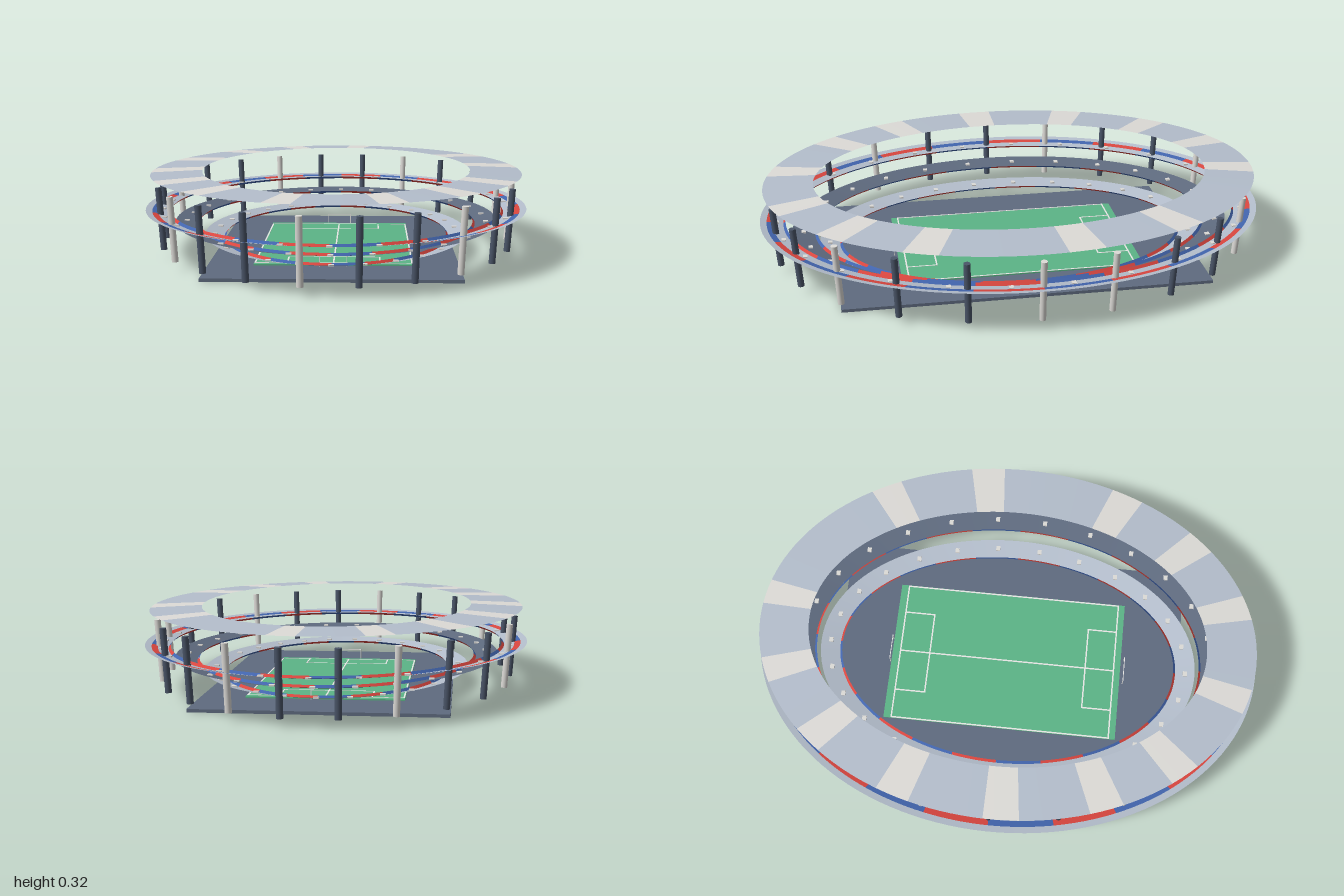
import * as THREE from 'three';
import { mergeGeometries } from 'three/addons/utils/BufferGeometryUtils.js';

const TAU = Math.PI * 2;
const deg = Math.PI / 180;

function mat(name, color, side = THREE.FrontSide) {
  const m = new THREE.MeshStandardMaterial({ color, side });
  m.name = name;
  return m;
}

// Strip between two ellipses, each given as [radiusX, radiusZ, y]
function strip(a, b, t0 = 0, t1 = TAU) {
  const n = Math.max(2, Math.ceil((t1 - t0) / TAU * 128));
  const pos = [], idx = [];
  for (let i = 0; i <= n; i++) {
    const t = t0 + (t1 - t0) * i / n, c = Math.cos(t), s = Math.sin(t);
    for (const [rx, rz, y] of [a, b]) pos.push(rx * c, y, rz * s);
    if (i < n) {
      const k = i * 2;
      idx.push(k, k + 2, k + 1, k + 1, k + 2, k + 3);
    }
  }
  const g = new THREE.BufferGeometry();
  g.setAttribute('position', new THREE.Float32BufferAttribute(pos, 3));
  g.setIndex(idx);
  g.computeVertexNormals();
  return g;
}

// Ellipse part of the way from a to b
const mix = (a, b, f) => a.map((v, j) => v + (b[j] - v) * f);

export function createModel() {
  const model = new THREE.Group();
  model.name = 'stadium';

  const concrete = mat('concrete', 0xb4becc, THREE.DoubleSide);
  const pale = mat('pale panel', 0xdddbd7, THREE.DoubleSide);
  const slate = mat('slate', 0x5f6b7f, THREE.DoubleSide);
  const steel = mat('dark steel', 0x4a5568);
  const grass = mat('grass', 0x5cb487);
  const white = mat('line white', 0xf0f0ee);
  const red = mat('red', 0xd9463f, THREE.DoubleSide);
  const blue = mat('blue', 0x4265ae, THREE.DoubleSide);

  const add = (name, geo, material, parent = model) => {
    const m = new THREE.Mesh(geo, material);
    m.name = name;
    parent.add(m);
    return m;
  };
  const box = (w, h, d, x, y, z) => new THREE.BoxGeometry(w, h, d).translate(x, y, z);

  // Ground slab and pitch
  add('groundSlab', box(0.93, 0.012, 1.42, 0, 0.006, 0), slate);
  add('pitch', box(0.59, 0.005, 0.95, 0, 0.0145, -0.005), grass);

  // Pitch markings
  const lines = [];
  const line = (x0, z0, x1, z1) => lines.push(box(
    Math.abs(x1 - x0) + 0.006, 0.001, Math.abs(z1 - z0) + 0.006,
    (x0 + x1) / 2, 0.0175, (z0 + z1) / 2));
  for (const x of [-0.291, 0, 0.291]) line(x, -0.448, x, 0.443);
  for (const s of [-1, 1]) {
    const end = s < 0 ? -0.448 : 0.443, front = s * 0.325;
    line(-0.291, end, 0.291, end);
    line(-0.172, front, 0.172, front);
    for (const x of [-0.172, 0.172]) line(x, end, x, front);
  }
  add('pitchLines', mergeGeometries(lines), white);

  // Goal frames
  for (const s of [-1, 1]) {
    const z = s * 0.483;
    add(s > 0 ? 'frontGoal' : 'backGoal', mergeGeometries([
      box(0.003, 0.043, 0.003, -0.05, 0.0335, z),
      box(0.003, 0.043, 0.003, 0.05, 0.0335, z),
      box(0.103, 0.003, 0.003, 0, 0.055, z),
    ]), white);
  }

  // Three sloping seating tiers: inner edge low, outer edge high
  const tiers = [
    { name: 'lowerTier', i: [0.45, 0.694, 0.056], o: [0.523, 0.772, 0.073], deck: concrete },
    { name: 'middleTier', i: [0.555, 0.79, 0.11], o: [0.64, 0.877, 0.127], deck: slate },
    { name: 'upperTier', i: [0.665, 0.91, 0.163], o: [0.755, 1.0, 0.18], deck: concrete, stripe: [0.45, 0.72] },
  ];
  for (const { name, i, o, deck, stripe } of tiers) {
    const tier = new THREE.Group();
    tier.name = name;
    model.add(tier);

    // Deck, leaving room for the coloured stripe where there is one
    const [s0, s1] = stripe ? stripe.map((f) => mix(i, o, f)) : [o, o];
    add('deck', strip(i, s0), deck, tier);
    if (stripe) add('outerDeck', strip(s1, o), deck, tier);

    // Leaning parapet and deck stripe in alternating team colours
    const parapet = [i[0] - 0.009, i[1] - 0.009, i[2] + 0.009];
    const parts = [[], []];
    const count = 24;
    for (let k = 0; k < count; k++) {
      const t0 = k / count * TAU, t1 = (k + 1) / count * TAU;
      parts[k % 2].push(strip(parapet, i, t0, t1));
      if (stripe) parts[k % 2].push(strip(s0, s1, t0, t1));
    }
    add('redBands', mergeGeometries(parts[0]), red, tier);
    add('blueBands', mergeGeometries(parts[1]), blue, tier);

    // Small flat seat blocks along the deck
    const seats = [];
    const [rx, rz, y] = mix(i, o, stripe ? 0.28 : 0.5);
    for (let k = 0; k < 26; k++) {
      const t = Math.PI / 2 + k / 26 * TAU;
      seats.push(box(0.02, 0.006, 0.017, rx * Math.cos(t), y + 0.002, rz * Math.sin(t)));
    }
    add('seats', mergeGeometries(seats), pale, tier);
  }

  // Outward-leaning pillars, every third one pale
  const up = new THREE.Vector3(0, 1, 0);
  for (let k = 0; k < 22; k++) {
    const t = k / 22 * TAU, c = Math.cos(t), s = Math.sin(t);
    const bottom = new THREE.Vector3(0.688 * c, 0.031, 0.937 * s);
    const top = new THREE.Vector3(0.706 * c, 0.273, 0.955 * s);
    const dir = top.clone().sub(bottom);
    const p = add('pillar', new THREE.CylinderGeometry(0.0125, 0.0125, dir.length(), 10),
      k % 3 === 0 ? pale : steel);
    p.position.copy(bottom).add(top).multiplyScalar(0.5);
    p.quaternion.setFromUnitVectors(up, dir.normalize());
  }

  // Thin roof ring with pale panels between concrete arcs
  const panels = [-158, -133, -109, -83, -35, -9, 26, 49, 73, 104, 132, 153, 177];
  const inner = [0.533, 0.785, 0.322], outer = [0.735, 0.98, 0.314];
  const half = 4;
  const paleArcs = [], plainArcs = [];
  panels.forEach((p, k) => {
    const next = k + 1 < panels.length ? panels[k + 1] : panels[0] + 360;
    paleArcs.push(strip(inner, outer, (p - half) * deg, (p + half) * deg));
    plainArcs.push(strip(inner, outer, (p + half) * deg, (next - half) * deg));
  });
  add('roofRing', mergeGeometries(plainArcs), concrete);
  add('roofPanels', mergeGeometries(paleArcs), pale);

  return model;
}
